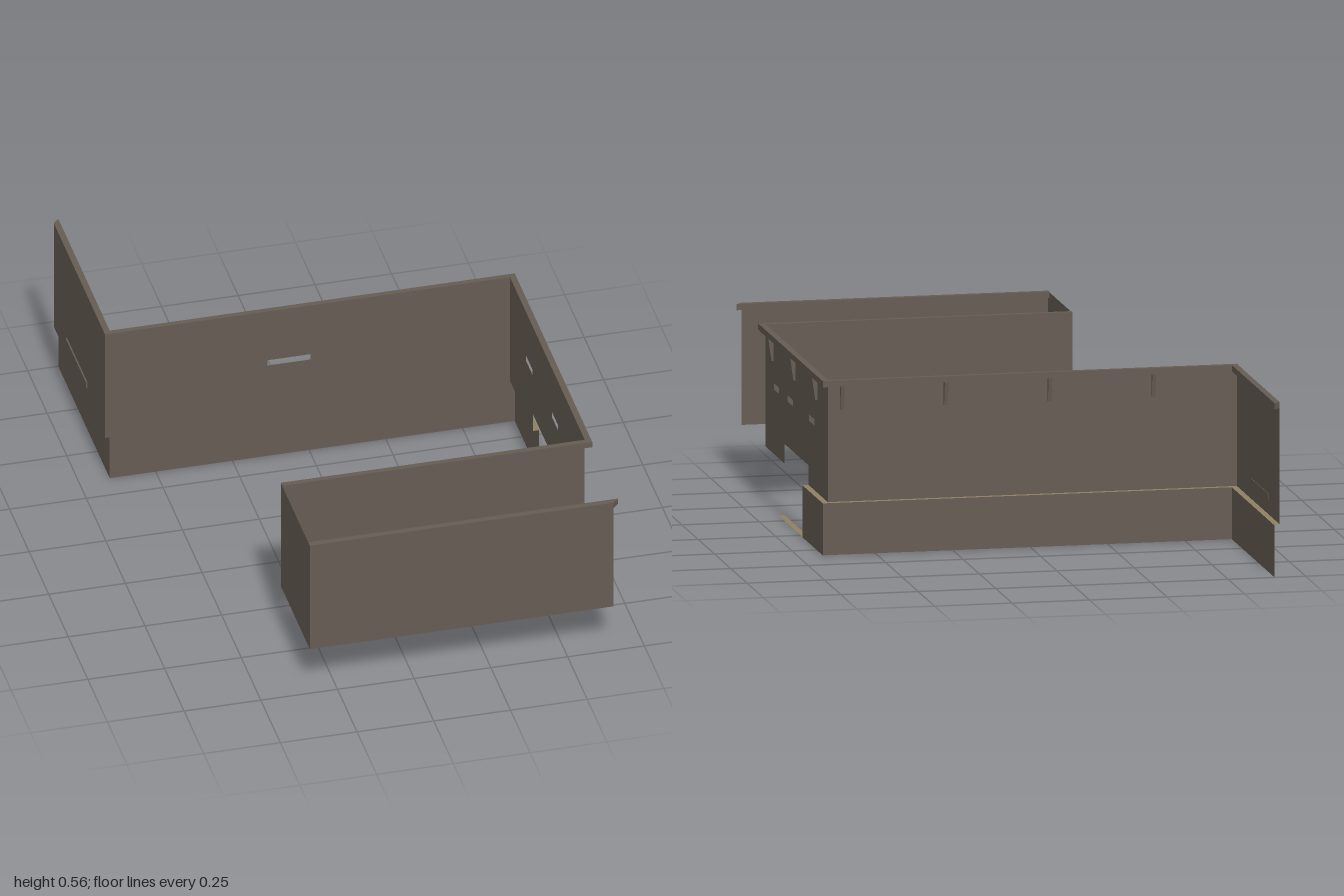
import * as THREE from 'three';

export function createModel() {
  const group = new THREE.Group();
  const brown = new THREE.MeshStandardMaterial({ color: 0x665d53, side: THREE.DoubleSide });
  brown.name = 'wall brown';
  const tan = new THREE.MeshStandardMaterial({ color: 0x8f8064, side: THREE.DoubleSide });
  tan.name = 'ledge tan';

  const add = (name, geometry, material = brown) => {
    const mesh = new THREE.Mesh(geometry, material);
    mesh.name = name;
    group.add(mesh);
    return mesh;
  };

  // Upright sheet from plan point a to b; outline and holes are [distance along, height]
  function wall(name, a, b, outline, holes = []) {
    const shape = new THREE.Shape(outline.map(p => new THREE.Vector2(...p)));
    for (const [u0, u1, y0, y1] of holes) {
      shape.holes.push(new THREE.Path([[u0, y0], [u1, y0], [u1, y1], [u0, y1]].map(p => new THREE.Vector2(...p))));
    }
    const mesh = add(name, new THREE.ShapeGeometry(shape));
    mesh.position.set(a[0], 0, a[1]);
    mesh.rotation.y = Math.atan2(a[1] - b[1], b[0] - a[0]);
  }
  const length = (a, b) => Math.hypot(b[0] - a[0], b[1] - a[1]);
  const rect = (w, y0, y1) => [[0, y0], [w, y0], [w, y1], [0, y1]];
  const panel = (name, a, b, y0, y1, holes) => wall(name, a, b, rect(length(a, b), y0, y1), holes);

  // Flat strip between two plan edges
  function ledge(name, a, b, c, d, y) {
    const g = new THREE.BufferGeometry();
    const v = [a, b, c, a, c, d].flatMap(p => [p[0], y, p[1]]);
    g.setAttribute('position', new THREE.Float32BufferAttribute(v, 3));
    g.setAttribute('normal', new THREE.Float32BufferAttribute(Array(6).fill([0, 1, 0]).flat(), 3));
    add(name, g, tan);
  }

  // Mitred rail between the wall line and its outer line
  function rail(name, inner, outer) {
    const shape = new THREE.Shape([...inner, ...outer.slice().reverse()].map(p => new THREE.Vector2(p[0], -p[1])));
    const g = new THREE.ExtrudeGeometry(shape, { depth: 0.02, bevelEnabled: false });
    g.rotateX(-Math.PI / 2);
    add(name, g).position.y = 0.54;
  }

  const LOW = 0.167, TOP = 0.542;
  const inner = [[-0.67, -0.98], [-0.67, -0.325], [0.65, -0.325], [0.65, 0.63], [-0.34, 0.63]];
  const outer = [[-0.65, -1], [-0.65, -0.343], [0.67, -0.343], [0.67, 0.648], [-0.34, 0.648]];

  // Upper walls
  panel('leftWall', inner[0], inner[1], LOW, TOP);
  panel('backWall', inner[1], inner[2], LOW, TOP, [[0.53, 0.67, 0.355, 0.375]]);
  const z0 = inner[2][1];
  wall('gateWall', inner[2], inner[3],
    [[0, LOW], [-0.03 - z0, LOW], [-0.03 - z0, 0.23], [0.34 - z0, 0.23], [0.34 - z0, LOW],
      [0.63 - z0, LOW], [0.63 - z0, TOP], [0, TOP]],
    [[-0.12, -0.04], [0.21, 0.29], [0.42, 0.5]].map(([a, b]) => [a - z0, b - z0, 0.375, 0.395]));
  panel('passageWall', inner[3], inner[4], LOW, TOP);
  panel('endWall', [-0.34, 0.63], [-0.34, 1], LOW, 0.558);
  panel('frontWall', [-0.34, 1], [0.65, 1], LOW, TOP);

  // Base walls set off from the upper walls, with ledges on top
  const gate = [0.67, -0.03];
  panel('leftBase', outer[0], outer[1], 0, LOW);
  panel('backBase', outer[1], outer[2], 0, LOW);
  panel('gateBase', outer[2], gate, 0, LOW);
  ledge('leftLedge', inner[0], inner[1], outer[1], outer[0], LOW);
  ledge('backLedge', inner[1], inner[2], outer[2], outer[1], LOW);
  ledge('gateLedge', inner[2], [0.65, -0.03], gate, outer[2], LOW);
  ledge('gateThreshold', [0.65, -0.03], [0.65, 0.34], [0.67, 0.34], gate, 0.001);

  // Top rails
  rail('mainRail', inner, outer);
  rail('frontRail', [[-0.34, 1], [0.65, 1]], [[-0.34, 0.98], [0.67, 0.98]]);

  // Tapered brackets below the rail
  const profile = new THREE.Shape([[0, 0.465], [0.007, 0.465], [0.018, 0.54], [0, 0.54]].map(p => new THREE.Vector2(...p)));
  const bracket = new THREE.ExtrudeGeometry(profile, { depth: 0.012, bevelEnabled: false });
  bracket.translate(0, 0, -0.006);
  for (const z of [-0.16, 0.175, 0.51]) add('gateBracket', bracket).position.set(0.65, 0, z);
  for (const x of [0.605, 0.27, -0.065, -0.4]) {
    const m = add('backBracket', bracket);
    m.position.set(x, 0, -0.325);
    m.rotation.y = Math.PI / 2;
  }

  // Long slot plate on the left wall
  add('slotPlate', new THREE.BoxGeometry(0.007, 0.022, 0.26)).position.set(-0.6715, 0.223, -0.68);

  return group;
}
